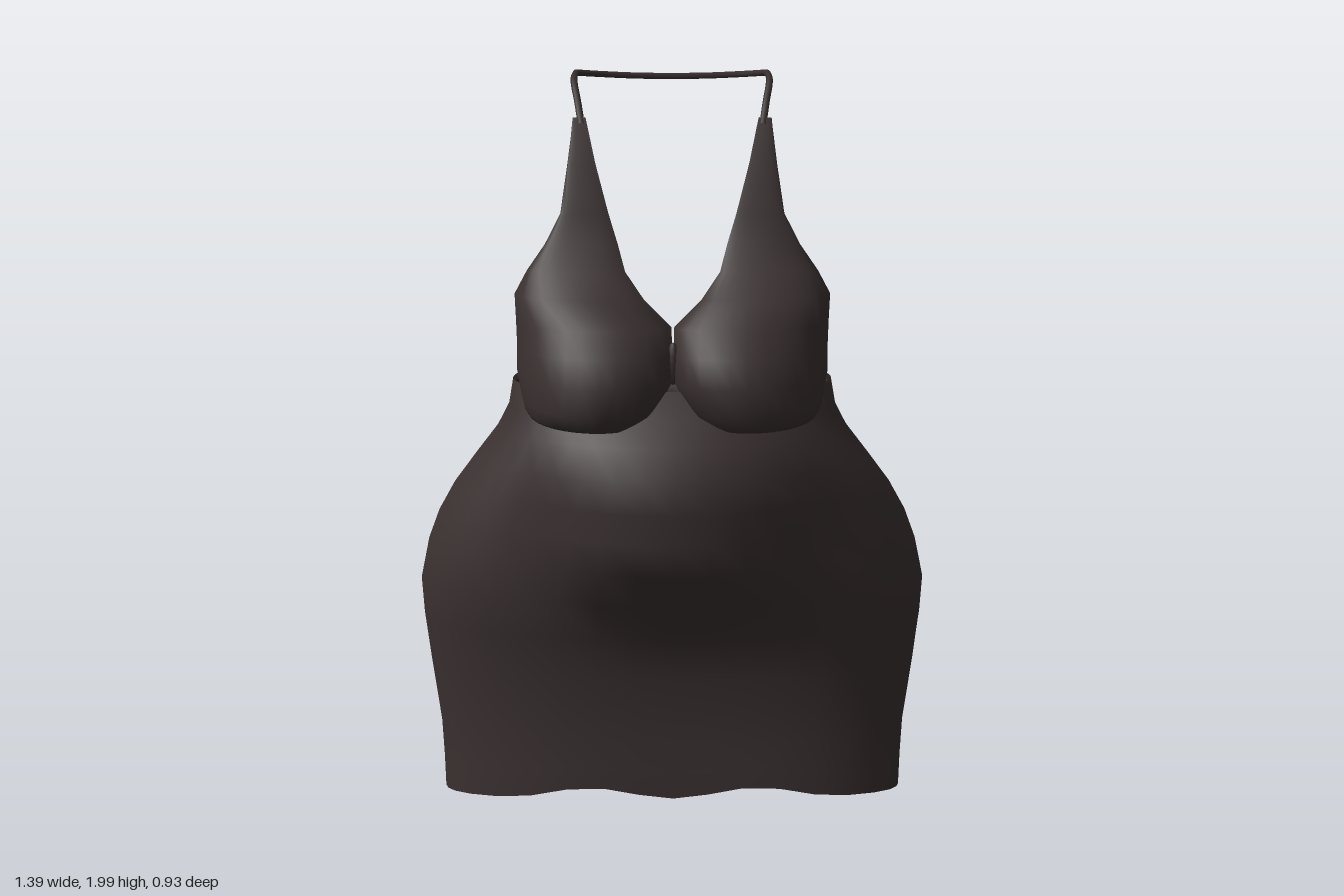
import * as THREE from 'three';

const fabric = new THREE.MeshStandardMaterial({ color: 0x3a3030, side: THREE.DoubleSide });
fabric.name = 'dark fabric';

// Smooth surface through equal-length rows of points, listed bottom to top
function loft(name, rows, closed) {
  const n = rows[0].length, index = [];
  for (let i = 0; i < rows.length - 1; i++) {
    for (let j = 0; j < (closed ? n : n - 1); j++) {
      const k = (j + 1) % n;
      const a = i * n + j, b = i * n + k, c = a + n, d = b + n;
      index.push(a, b, c, b, d, c);
    }
  }
  const geo = new THREE.BufferGeometry().setFromPoints(rows.flat());
  geo.setIndex(index);
  geo.computeVertexNormals();
  const mesh = new THREE.Mesh(geo, fabric);
  mesh.name = name;
  return mesh;
}

// Skirt rings: height, half width, front depth, back depth,
// front squareness, back squareness, belly bulge
const RINGS = [
  [0.00, 0.635, 0.33, 0.46, 3.3, 2.1, 0],
  [0.10, 0.638, 0.325, 0.452, 3.2, 2.2, 0],
  [0.22, 0.645, 0.315, 0.445, 3.0, 2.35, 0],
  [0.40, 0.672, 0.305, 0.447, 2.8, 2.55, 0],
  [0.52, 0.688, 0.325, 0.452, 2.6, 2.65, 0.012],
  [0.62, 0.695, 0.345, 0.447, 2.4, 2.65, 0.035],
  [0.72, 0.675, 0.355, 0.43, 2.2, 2.6, 0.113],
  [0.80, 0.645, 0.36, 0.41, 2.15, 2.5, 0.107],
  [0.88, 0.6, 0.37, 0.38, 2.1, 2.4, 0.095],
  [0.96, 0.54, 0.38, 0.345, 2.15, 2.4, 0.075],
  [1.04, 0.478, 0.37, 0.303, 2.2, 2.3, 0.025],
  [1.10, 0.447, 0.335, 0.325, 2.2, 2.2, 0],
  [1.17, 0.435, 0.28, 0.37, 2.2, 2.2, 0],
  // Rolled inner edge of the waistband
  [1.16, 0.425, 0.27, 0.352, 2.2, 2.2, 0],
  [1.09, 0.437, 0.327, 0.312, 2.2, 2.2, 0],
];

function skirt() {
  const sides = 44;
  const rows = RINGS.map(([y, w, front, back, pFront, pBack, belly]) => {
    const ring = [];
    for (let j = 0; j < sides; j++) {
      const a = j / sides * Math.PI * 2, s = Math.sin(a), c = Math.cos(a);
      const p = c > 0 ? pFront : pBack;
      const r = Math.pow(Math.abs(s) ** p + Math.abs(c) ** p, -1 / p);
      const x = w * s * r;
      let z = (c > 0 ? front : back) * c * r;
      // Wavy hem, raised at the front and a little at the back
      const scallop = Math.abs(x) < 0.45 ? (1 - Math.cos(x * 14)) / 2 : 0;
      const hem = c > 0
        ? 0.015 + 0.065 * z / front + 0.03 * scallop
        : 0.012 + 0.05 * Math.max(0, 1 - (x / 0.42) ** 2);
      if (c > 0) z += belly * Math.max(0, 1 - (x / 0.38) ** 2);
      ring.push(new THREE.Vector3(x, y + hem * Math.max(0, 1 - y / 0.24), z));
    }
    return ring;
  });
  return loft('skirt', rows, true);
}

// Cup rows: height, inner x, inner z, outer x, outer z, bulge z, outer lift
const CUP = [
  [1.085, 0.13, 0.31, 0.38, 0.14, 0.30, 0.04],
  [1.068, 0.13, 0.30, 0.385, 0.10, 0.36, 0.05],
  [1.075, 0.10, 0.29, 0.395, 0.06, 0.42, 0.06],
  [1.11, 0.05, 0.28, 0.405, 0.04, 0.458, 0.05],
  [1.19, 0.005, 0.27, 0.415, 0.033, 0.468, 0.02],
  [1.26, 0.003, 0.25, 0.415, 0.03, 0.425, 0.01],
  [1.33, 0.003, 0.21, 0.418, 0.03, 0.37, 0.01],
  [1.40, 0.075, 0.19, 0.42, 0.05, 0.285, 0.01],
  [1.47, 0.125, 0.15, 0.385, 0.085, 0.17, 0],
  [1.54, 0.145, 0.11, 0.335, 0.095, 0.125, 0],
  [1.62, 0.17, 0.085, 0.293, 0.08, 0.093, 0],
  [1.75, 0.205, 0.045, 0.272, 0.035, 0.048, 0],
  [1.87, 0.232, -0.008, 0.252, -0.015, -0.008, 0],
];

function cup(side) {
  const group = new THREE.Group();
  group.name = side > 0 ? 'leftCup' : 'rightCup';
  const rows = CUP.map(([y, xi, zi, xo, zo, zb, lift]) => new THREE.CubicBezierCurve3(
    new THREE.Vector3(xi * side, y, zi),
    new THREE.Vector3((xi + 0.03) * side, y, zb),
    new THREE.Vector3((xo + 0.03) * side, y, zb),
    new THREE.Vector3(xo * side, y + lift, zo)).getPoints(14));
  // Narrow turned-in facing behind an edge of the cup
  const facing = (name, edge, dx) => loft(name, edge.map(p =>
    [p, new THREE.Vector3(p.x + dx * side, p.y, p.z - 0.018)]), false);
  group.add(
    facing('necklineFacing', rows.slice(6).map(r => r[0]), 0.004),
    facing('armholeFacing', rows.slice(4).map(r => r[14]), -0.012));
  if (side < 0) rows.forEach(r => r.reverse());
  group.add(loft('cupPanel', rows, false));
  return group;
}

// Halter strap, looping behind the neck
function strap() {
  const half = [
    [0.243, 1.85, -0.002], [0.254, 1.91, -0.05], [0.266, 1.965, -0.11],
    [0.264, 1.988, -0.17], [0.245, 1.99, -0.25], [0.2, 1.988, -0.287], [0.1, 1.984, -0.307],
  ];
  const left = half.map(p => new THREE.Vector3(...p));
  const right = half.map(([x, y, z]) => new THREE.Vector3(-x, y, z)).reverse();
  const curve = new THREE.CatmullRomCurve3(
    [...left, new THREE.Vector3(0, 1.983, -0.312), ...right], false, 'centripetal');
  const mesh = new THREE.Mesh(new THREE.TubeGeometry(curve, 64, 0.0095, 6), fabric);
  mesh.name = 'halterStrap';
  return mesh;
}

export function createModel() {
  const model = new THREE.Group();
  model.name = 'halterDress';
  model.add(skirt(), cup(1), cup(-1), strap());

  // Gathered join between the cups
  const join = new THREE.Mesh(new THREE.SphereGeometry(0.02, 10, 8), fabric);
  join.name = 'centreGather';
  join.scale.set(0.9, 2.8, 0.9);
  join.position.set(0, 1.24, 0.25);
  model.add(join);
  return model;
}
